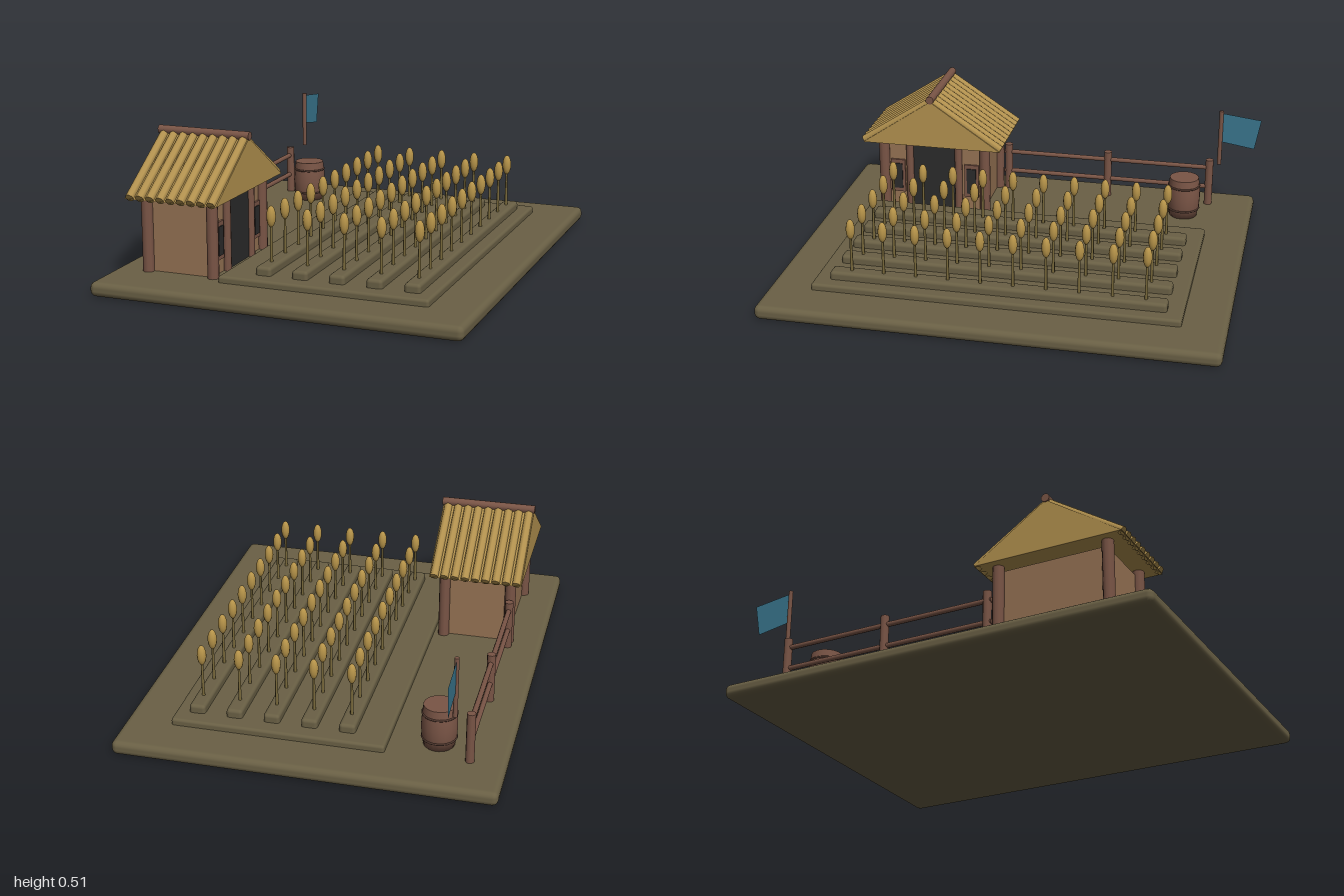
import * as THREE from 'three';
import { RoundedBoxGeometry } from 'three/addons/geometries/RoundedBoxGeometry.js';

const mat = (name, color, side = THREE.FrontSide) => {
  const m = new THREE.MeshStandardMaterial({ color, side });
  m.name = name;
  return m;
};

export function createModel() {
  const earth = mat('earth', 0x6a6045);
  const wood = mat('wood', 0x7a5546);
  const plaster = mat('plaster', 0x967354);
  const thatch = mat('thatch', 0xb3924f);
  const grain = mat('grain', 0xb8954a);
  const stalkMat = mat('stalk', 0x7a6a3c);
  const dark = mat('dark opening', 0x2b2b2b);
  const band = mat('barrel band', 0x553c32);
  const cloth = mat('cloth', 0x3a768e, THREE.DoubleSide);

  // Everything is laid out on straight axes, then turned by 45 degrees
  const model = new THREE.Group();
  const plot = new THREE.Group();
  plot.name = 'farmPlot';
  plot.rotation.y = Math.PI / 4;
  model.add(plot);

  const add = (name, geo, material, x, y, z, parent = plot) => {
    const m = new THREE.Mesh(geo, material);
    m.name = name;
    m.position.set(x, y, z);
    parent.add(m);
    return m;
  };
  const slab = (name, w, y0, y1, d, x, z, r) =>
    add(name, new RoundedBoxGeometry(w, y1 - y0, d, 2, r), earth, x, (y0 + y1) / 2, z);
  const box = (name, w, h, d, material, x, y, z, parent) =>
    add(name, new THREE.BoxGeometry(w, h, d), material, x, y, z, parent);
  const rod = (name, a, b, r, material, parent = plot, sides = 10) => {
    const dir = b.clone().sub(a);
    const m = add(name, new THREE.CylinderGeometry(r, r, dir.length(), sides), material, 0, 0, 0, parent);
    m.position.copy(a).add(b).multiplyScalar(0.5);
    m.quaternion.setFromUnitVectors(new THREE.Vector3(0, 1, 0), dir.normalize());
    return m;
  };
  const V = (x, y, z) => new THREE.Vector3(x, y, z);

  // Ground, field and planting ridges
  slab('groundBase', 1.568, 0, 0.05, 1.284, 0, 0, 0.02);
  slab('fieldBed', 1.268, 0.03, 0.073, 0.728, 0, 0.119, 0.01);
  const stalkGeo = new THREE.CylinderGeometry(0.004, 0.006, 0.14, 6);
  const headGeo = new THREE.SphereGeometry(1, 10, 8).scale(0.016, 0.037, 0.016);
  for (let row = 0; row < 5; row++) {
    const z = -0.107 + row * 0.129;
    slab('plantingRidge', 1.16, 0.06, 0.102, 0.056, 0, z, 0.012);
    for (let i = 0; i < 10; i++) {
      const x = -0.507 + i * 0.1127;
      add('grainStalk', stalkGeo, stalkMat, x, 0.165, z);
      add('grainHead', headGeo, grain, x, 0.256, z);
    }
  }

  // Hut walls, posts and openings
  const hut = new THREE.Group();
  hut.name = 'hut';
  hut.position.x = -0.397;
  plot.add(hut);
  box('hutWalls', 0.38, 0.245, 0.23, plaster, 0, 0.1725, -0.4, hut);
  box('doorway', 0.17, 0.26, 0.008, dark, 0, 0.18, -0.282, hut);
  for (const s of [-1, 1]) {
    for (const z of [-0.52, -0.28])
      rod('cornerPost', V(s * 0.195, 0.045, z), V(s * 0.195, 0.312, z), 0.02, wood, hut);
    rod('doorPost', V(s * 0.094, 0.045, -0.276), V(s * 0.094, 0.312, -0.276), 0.014, wood, hut);
    box('windowFrame', 0.055, 0.13, 0.009, wood, s * 0.143, 0.165, -0.282, hut);
    box('window', 0.035, 0.1, 0.009, dark, s * 0.143, 0.165, -0.278, hut);
  }

  // Thatched gable roof with straw bundles running down both slopes
  const gable = new THREE.Shape([
    new THREE.Vector2(-0.262, 0.31), new THREE.Vector2(0.262, 0.31), new THREE.Vector2(0, 0.488)]);
  add('roof', new THREE.ExtrudeGeometry(gable, { depth: 0.333, bevelEnabled: false }),
    thatch, 0, 0, -0.566, hut);
  for (const s of [-1, 1])
    for (let i = 0; i < 9; i++) {
      const z = -0.548 + i * 0.0371;
      rod('strawBundle', V(0, 0.486, z), V(s * 0.262, 0.314, z), 0.015, thatch, hut, 8);
    }
  rod('ridgePole', V(0, 0.495, -0.569), V(0, 0.495, -0.23), 0.015, wood, hut);

  // Rail fence
  for (const x of [-0.163, 0.226, 0.615])
    rod('fencePost', V(x, 0.045, -0.523), V(x, 0.23, -0.523), 0.015, wood);
  for (const y of [0.12, 0.198])
    rod('fenceRail', V(-0.18, y, -0.523), V(0.615, y, -0.523), 0.009, wood, plot, 8);

  // Barrel with two hoops
  const barrel = new THREE.Group();
  barrel.name = 'barrel';
  barrel.position.set(0.534, 0.05, -0.407);
  plot.add(barrel);
  const profile = [[0, 0], [0.052, 0], [0.059, 0.04], [0.061, 0.075], [0.059, 0.11], [0.054, 0.15], [0.054, 0.15], [0, 0.15]];
  add('barrelBody', new THREE.LatheGeometry(profile.map(p => new THREE.Vector2(...p)), 18), wood, 0, 0, 0, barrel);
  for (const y of [0.03, 0.12])
    add('barrelHoop', new THREE.TorusGeometry(0.057, 0.004, 6, 20).rotateX(Math.PI / 2), band, 0, y, 0, barrel);

  // Flag on a short pole
  rod('flagPole', V(0.654, 0.235, -0.477), V(0.654, 0.447, -0.477), 0.008, wood);
  const flag = new THREE.Shape([[0, 0.325], [0.125, 0.305], [0.146, 0.42], [0, 0.438]]
    .map(p => new THREE.Vector2(...p)));
  add('flag', new THREE.ShapeGeometry(flag), cloth, 0.656, 0, -0.477);

  return model;
}
